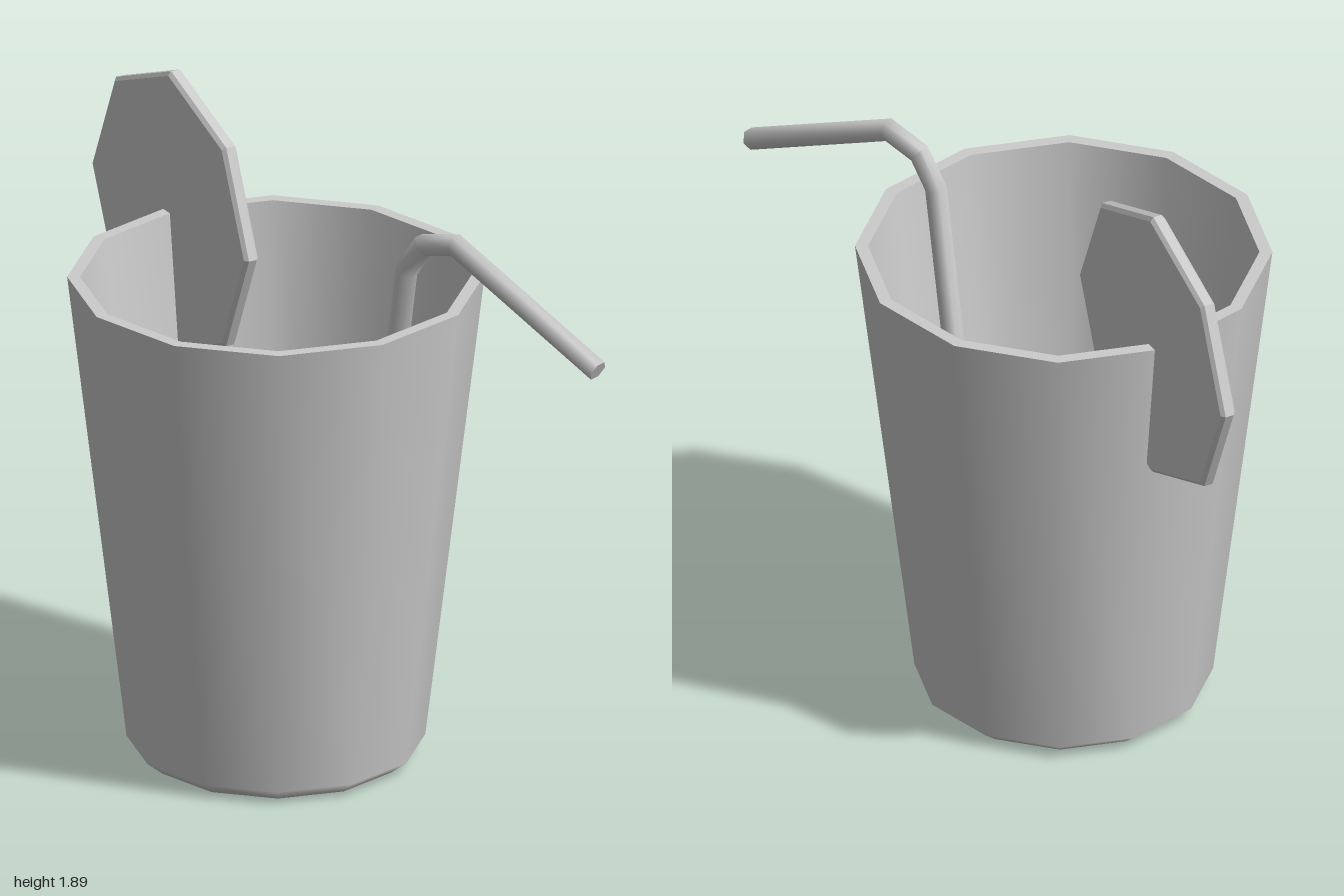
import * as THREE from 'three';
import { toCreasedNormals } from 'three/addons/utils/BufferGeometryUtils.js';

const grey = new THREE.MeshStandardMaterial({ color: 0xcccccc });
grey.name = 'plainGrey';

function lathe(profile, sides) {
  return new THREE.LatheGeometry(profile.map(([r, y]) => new THREE.Vector2(r, y)), sides);
}

function addPart(parent, name, geometry) {
  const mesh = new THREE.Mesh(geometry, grey);
  mesh.name = name;
  parent.add(mesh);
  return mesh;
}

// Capped six-sided tube with mitred corners along a path in a vertical plane
function mitredTube(path, radius, sides) {
  const points = path.map((p) => new THREE.Vector3(...p));
  const last = points.length - 1;
  const run = points[last].clone().sub(points[0]).setY(0).normalize();
  const across = new THREE.Vector3(run.z, 0, -run.x);
  const positions = [];
  const index = [];
  points.forEach((p, i) => {
    const before = p.clone().sub(points[Math.max(i - 1, 0)]).normalize();
    const after = points[Math.min(i + 1, last)].clone().sub(p).normalize();
    const tangent = before.clone().add(after).normalize();
    const stretch = 1 / tangent.dot(i < last ? after : before);
    const up = tangent.clone().cross(across);
    for (let k = 0; k < sides; k++) {
      const a = (k / sides) * Math.PI * 2;
      const v = p.clone()
        .addScaledVector(across, radius * Math.cos(a))
        .addScaledVector(up, radius * stretch * Math.sin(a));
      positions.push(v.x, v.y, v.z);
      if (i < last) {
        const q = i * sides + k;
        const r = i * sides + ((k + 1) % sides);
        index.push(q, r, r + sides, q, r + sides, q + sides);
      }
    }
  });
  // End caps
  for (let k = 1; k < sides - 1; k++) {
    const e = last * sides;
    index.push(0, k + 1, k, e, e + k, e + k + 1);
  }
  const geometry = new THREE.BufferGeometry();
  geometry.setAttribute('position', new THREE.Float32BufferAttribute(positions, 3));
  geometry.setIndex(index);
  return toCreasedNormals(geometry, 1.2);
}

export function createModel() {
  const model = new THREE.Group();
  model.name = 'drink';

  // Tapered twelve-sided glass: outside, flat rim and inside
  const glass = new THREE.Group();
  glass.name = 'glass';
  model.add(glass);
  addPart(glass, 'outerWall', lathe([[0, 0], [0.375, 0], [0.425, 0.04], [0.594, 1.455]], 12));
  addPart(glass, 'rim', lathe([[0.594, 1.455], [0.557, 1.455]], 12));
  addPart(glass, 'innerWall', lathe([[0.557, 1.455], [0.392, 0.07], [0.35, 0.04], [0, 0.04]], 12));

  // Eight-sided fruit slice pushed over the back of the rim
  const slice = lathe([[0, -0.023], [0.42, -0.023], [0.432, -0.013],
    [0.432, 0.013], [0.42, 0.023], [0, 0.023]], 8);
  slice.rotateZ(Math.PI / 2);
  const fruit = addPart(model, 'fruitSlice', toCreasedNormals(slice, 0.3));
  fruit.position.set(0, 1.455, -0.56);

  // Bent drinking straw leaning over the front
  addPart(model, 'straw', mitredTube([
    [0.165, 0.05, 0.145], [0.232, 1.54, 0.335], [0.255, 1.635, 0.39],
    [0.296, 1.665, 0.5], [0.478, 1.413, 0.986],
  ], 0.032, 6));

  return model;
}
